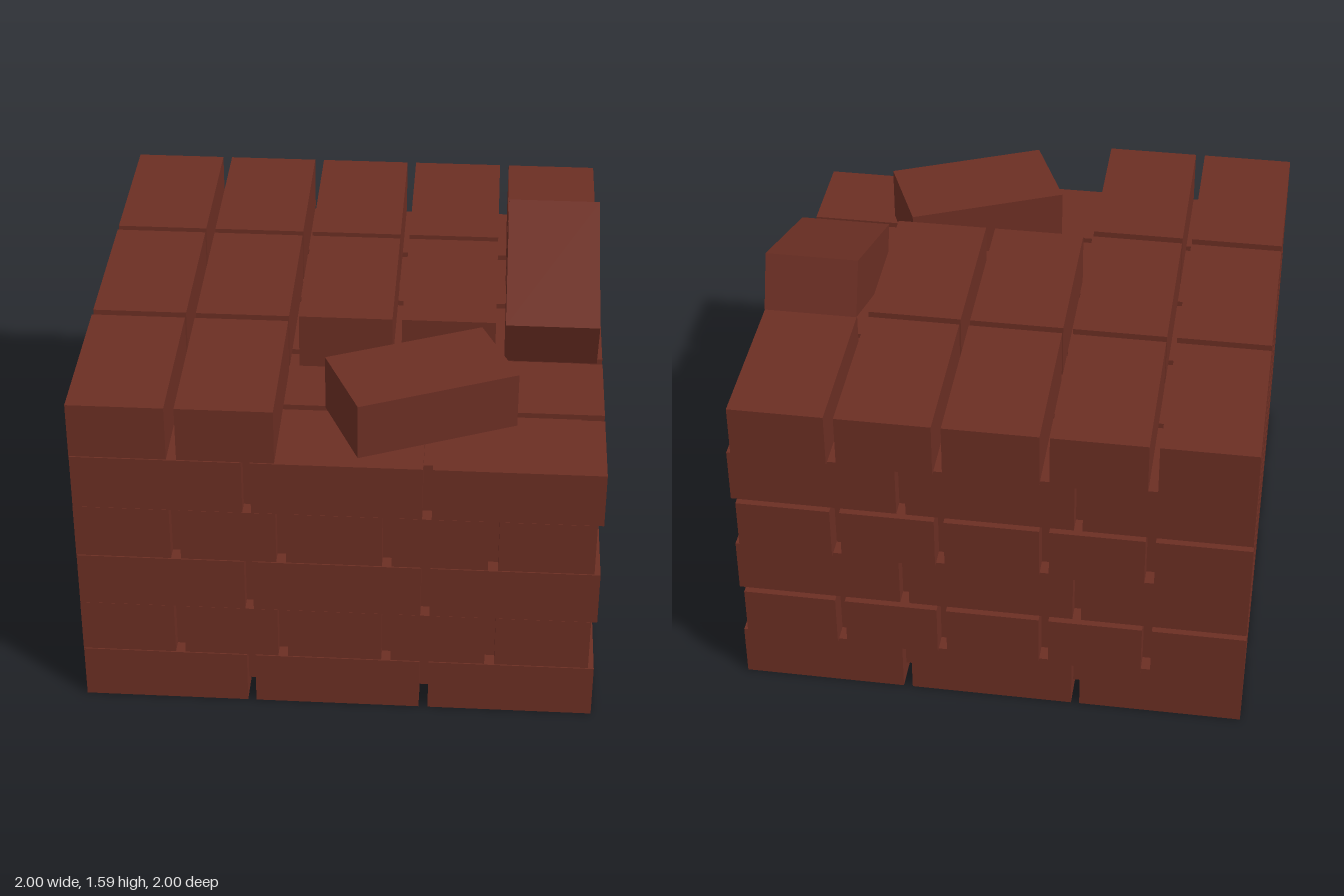
import * as THREE from 'three';

const LONG = 0.643, WIDE = 0.365, HIGH = 0.2265;
const PITCH = 0.2288; // layer spacing
const THREE_ROW = [-0.678, -0.002, 0.677]; // centres of long sides in a row
const FIVE_ROW = [-0.818, -0.415, -0.012, 0.39, 0.793]; // centres of short sides in a row

export function createModel() {
  const model = new THREE.Group();
  model.name = 'brickStack';
  const brickRed = new THREE.MeshStandardMaterial({ color: 0x6b2e23 });
  brickRed.name = 'brickRed';
  const alongX = new THREE.BoxGeometry(LONG, HIGH, WIDE);
  const alongZ = new THREE.BoxGeometry(WIDE, HIGH, LONG);

  const addBrick = (parent, name, geometry, x, y, z) => {
    const brick = new THREE.Mesh(geometry, brickRed);
    brick.name = name;
    brick.position.set(x, y, z);
    parent.add(brick);
    return brick;
  };

  // Six layers, with the bricks turned a quarter on every other one
  for (let i = 0; i < 6; i++) {
    const layer = new THREE.Group();
    layer.name = `layer${i + 1}`;
    model.add(layer);
    const y = i * PITCH + HIGH / 2;
    for (const long of THREE_ROW) {
      FIVE_ROW.forEach((short, k) => {
        if (i % 2 === 0) {
          addBrick(layer, 'brick', alongX, long, y, -short);
          layer.children.at(-1).position.z = short + 0.001 + 0.024;
          return;
        }
        // The top layer lacks three bricks at the front and one beside them
        const row = THREE_ROW.indexOf(long);
        if (i === 5 && ((row === 2 && k > 1) || (row === 1 && k === 4))) return;
        addBrick(layer, 'brick', alongZ, short, y, long);
      });
    }
  }

  // Solid core seen through the joints
  addBrick(model, 'core', new THREE.BoxGeometry(1.85, 1.055, 1.85), -0.015, 0.5925, 0.015);

  // Loose bricks lying on top
  const tilted = addBrick(model, 'tiltedBrick', alongZ, 0.793, 1.365, -0.03);
  tilted.rotation.x = 0.366;
  const turned = addBrick(model, 'turnedBrick', alongX, 0.297, 5 * PITCH + HIGH / 2, 0.649);
  turned.rotation.y = 0.408;

  return model;
}
